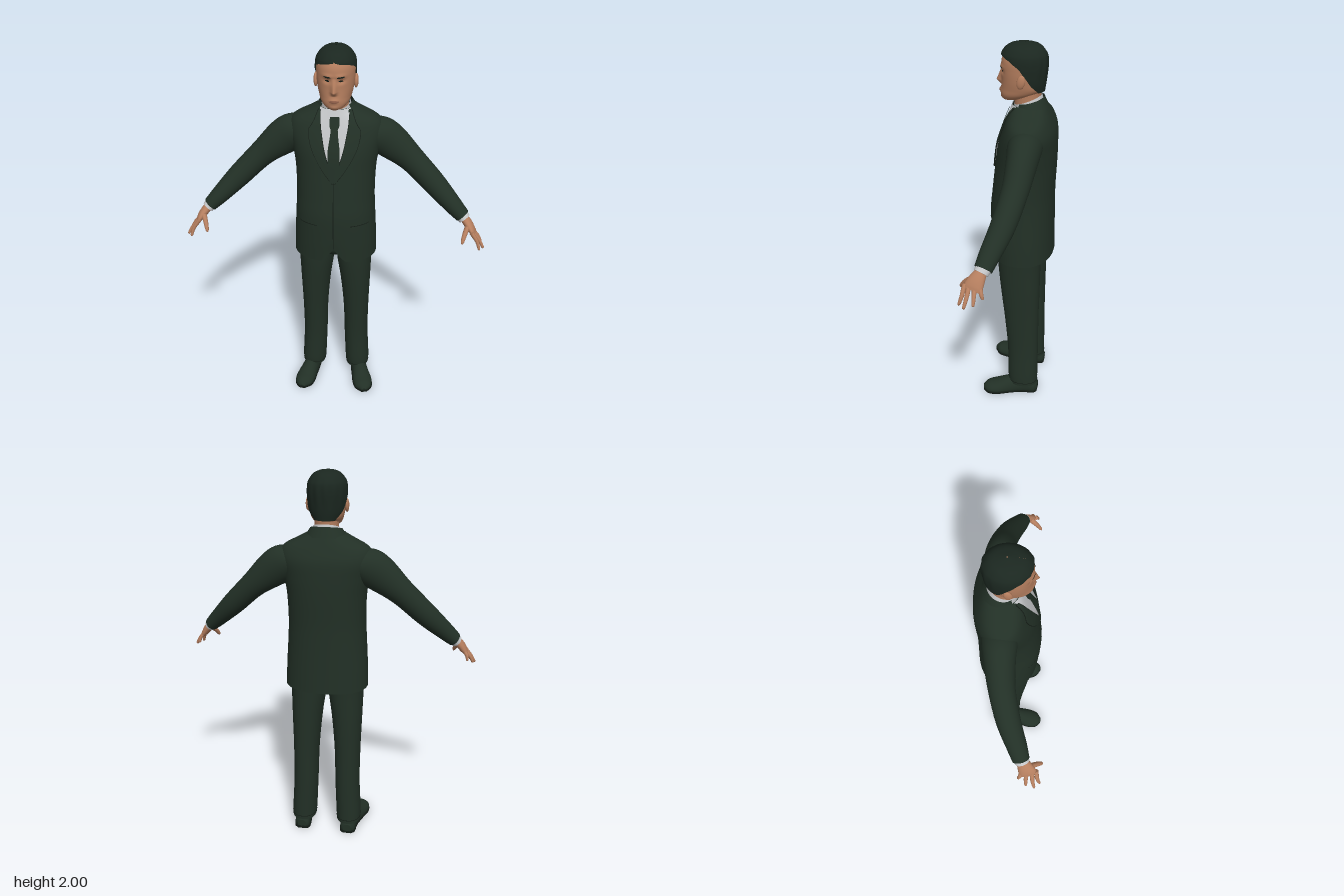
import * as THREE from 'three';

const mat = (name, color, side = THREE.DoubleSide) => {
  const m = new THREE.MeshStandardMaterial({ color, side });
  m.name = name;
  return m;
};

// Smooth interpolation of table rows keyed by their ascending first column
function sample(rows, k) {
  let i = 0;
  while (i < rows.length - 2 && k > rows[i + 1][0]) i++;
  const a = rows[i], b = rows[i + 1], p = rows[i - 1] || a, q = rows[i + 2] || b;
  const h = b[0] - a[0], t = Math.min(1, Math.max(0, (k - a[0]) / h)), t2 = t * t, t3 = t2 * t;
  return a.map((v, c) => {
    const m0 = (b[c] - p[c]) / (b[0] - p[0]) * h, m1 = (q[c] - v) / (q[0] - a[0]) * h;
    return (2 * t3 - 3 * t2 + 1) * v + (t3 - 2 * t2 + t) * m0 + (3 * t2 - 2 * t3) * b[c] + (t3 - t2) * m1;
  });
}

// Indexed surface through rows of points
function grid(rows, closed) {
  const n = rows[0].length, pos = rows.flat().flatMap(v => [v.x, v.y, v.z]), idx = [];
  for (let i = 0; i < rows.length - 1; i++)
    for (let j = 0; j < (closed ? n : n - 1); j++) {
      const k = (j + 1) % n, a = i * n + j, b = i * n + k, c = b + n, d = a + n;
      idx.push(a, b, c, a, c, d);
    }
  const g = new THREE.BufferGeometry();
  g.setAttribute('position', new THREE.Float32BufferAttribute(pos, 3));
  g.setIndex(idx);
  g.computeVertexNormals();
  return g;
}

function capEnds(rings) {
  const flat = r => {
    const c = r.reduce((s, v) => s.add(v), new THREE.Vector3()).divideScalar(r.length);
    return r.map(() => c.clone());
  };
  const a = rings[0], b = rings[rings.length - 1];
  return [flat(a), a.map(v => v.clone()), ...rings, b.map(v => v.clone()), flat(b)];
}

// Upright body: rows are [y, rx, zc, rz, cx]; opt.arc reads a half angle about the back from column 5
const spow = (v, e) => Math.sign(v) * Math.abs(v) ** e;
function loft(rows, { n = 48, m = 30, p = 2, arc = false, cap = false, rule } = {}) {
  const rings = [], y0 = rows[0][0], y1 = rows[rows.length - 1][0];
  for (let i = 0; i <= m; i++) {
    const [y, rx, zc, rz, cx = 0, half = Math.PI] = sample(rows, y0 + (y1 - y0) * i / m), ring = [];
    const h = Math.min(half, Math.PI);
    for (let j = 0; j < (arc ? n + 1 : n); j++) {
      const t = Math.PI + h * (2 * j / n - 1);
      const v = new THREE.Vector3(cx + rx * spow(Math.sin(t), 2 / p), y, zc + rz * spow(Math.cos(t), 2 / p));
      if (rule) rule(v, t, i / m);
      ring.push(v);
    }
    rings.push(ring);
  }
  return grid(cap ? capEnds(rings) : rings, !arc);
}

// Limb along a path: points are [x, y, z, ru, rv]
function limb(pts, { n = 20, m = 16, ref = new THREE.Vector3(0, 0, 1), rule } = {}) {
  const keyed = pts.map((p, i) => [i, ...p]), last = pts.length - 1, rings = [];
  const at = k => new THREE.Vector3(...sample(keyed, k).slice(1, 4));
  for (let i = 0; i <= m; i++) {
    const k = last * i / m, [, , , , ru, rv] = sample(keyed, k), c = at(k), ring = [];
    const T = at(Math.min(last, k + 0.05)).sub(at(Math.max(0, k - 0.05))).normalize();
    const U = T.clone().cross(ref).normalize(), V = U.clone().cross(T);
    for (let j = 0; j < n; j++) {
      const t = 2 * Math.PI * j / n;
      const v = c.clone().addScaledVector(U, ru * Math.sin(t)).addScaledVector(V, rv * Math.cos(t));
      if (rule) rule(v);
      ring.push(v);
    }
    rings.push(ring);
  }
  return grid(capEnds(rings), true);
}

// Thin plate laid on a front surface: rows are [y, xLeft, xRight]
function patch(surf, rows, off, nu = 10, nv = 16) {
  const y0 = rows[0][0], y1 = rows[rows.length - 1][0], out = [];
  for (let i = 0; i <= nv; i++) {
    const [y, a, b] = sample(rows, y0 + (y1 - y0) * i / nv), r = [];
    for (let j = 0; j <= nu; j++) {
      const x = a + (b - a) * j / nu;
      r.push(new THREE.Vector3(x, y, surf(x, y) + off));
    }
    out.push(r);
  }
  return grid(out, false);
}
const frontOf = (rows, p, bump = () => 0) => (x, y) => {
  const [, rx, zc, rz] = sample(rows, y);
  return zc + rz * Math.max(0, 1 - Math.abs(x / rx) ** p) ** (1 / p) + bump(x, y);
};

function mirrorX(g) {
  const c = g.clone().scale(-1, 1, 1), a = c.index.array;
  for (let i = 0; i < a.length; i += 3) [a[i], a[i + 1]] = [a[i + 1], a[i]];
  c.computeVertexNormals();
  return c;
}

const TORSO = [[0.89, 0.218, -0.02, 0.16], [1, 0.214, -0.016, 0.162], [1.15, 0.205, -0.013, 0.163], [1.25, 0.2, -0.018, 0.158],
  [1.4, 0.204, -0.03, 0.152], [1.5, 0.22, -0.038, 0.145], [1.58, 0.235, -0.048, 0.13], [1.64, 0.212, -0.048, 0.108],
  [1.67, 0.155, -0.047, 0.095], [1.705, 0.088, -0.045, 0.08]];
const HEAD = [[1.718, 0.02, 0.06, 0.02], [1.728, 0.045, 0.04, 0.05], [1.75, 0.068, 0.012, 0.084], [1.78, 0.08, -0.01, 0.104],
  [1.82, 0.088, -0.013, 0.104], [1.87, 0.092, -0.016, 0.108], [1.92, 0.09, -0.018, 0.107], [1.955, 0.074, -0.018, 0.088],
  [1.978, 0.045, -0.018, 0.055], [1.988, 0.01, -0.018, 0.012]];
const HAIR = [[1.77, 0.074, -0.025, 0.092, 0, 0.75], [1.81, 0.092, -0.015, 0.108, 0, 1.1], [1.86, 0.098, -0.015, 0.112, 0, 1.42],
  [1.9, 0.099, -0.016, 0.113, 0, 1.75], [1.93, 0.097, -0.016, 0.112, 0, 2.25], [1.95, 0.091, -0.016, 0.107, 0, 3.14],
  [1.98, 0.068, -0.018, 0.082, 0, 3.14], [1.994, 0.04, -0.02, 0.052, 0, 3.14], [2, 0.003, -0.02, 0.004, 0, 3.14]];
const LEG = [[0.06, 0.066, -0.04, 0.08, 0.128], [0.1, 0.068, -0.037, 0.083, 0.127], [0.3, 0.067, -0.035, 0.085, 0.118],
  [0.5, 0.07, -0.027, 0.093, 0.115], [0.7, 0.081, -0.018, 0.105, 0.109], [0.85, 0.093, -0.012, 0.112, 0.101], [0.97, 0.1, -0.012, 0.115, 0.1]];
const SHOE = [[0.13, 0.03, -0.122, 0.025, 0.025], [0.13, 0.03, -0.1, 0.042, 0.06], [0.135, 0.03, -0.03, 0.043, 0.07],
  [0.15, 0.025, 0.04, 0.048, 0.06], [0.168, 0.02, 0.11, 0.055, 0.042], [0.178, 0.018, 0.155, 0.045, 0.032], [0.182, 0.015, 0.184, 0.014, 0.012]];

// Nose, brow, eye sockets, lips and chin
const bell = (v, c, w) => Math.exp(-(((v - c) / w) ** 2));
const face = (x, y) => {
  const nose = y > 1.812 ? Math.max(0, (1.875 - y) / 0.063) : Math.max(0, (y - 1.792) / 0.02);
  const ax = Math.abs(x);
  return 0.027 * nose * bell(x, 0, 0.013) + 0.005 * bell(y, 1.886, 0.01) * bell(ax, 0.03, 0.025)
    - 0.008 * bell(y, 1.862, 0.012) * bell(ax, 0.033, 0.018) + 0.006 * bell(y, 1.767, 0.012) * bell(x, 0, 0.022)
    + 0.004 * bell(y, 1.735, 0.01) * bell(x, 0, 0.022);
};

export function createModel() {
  const model = new THREE.Group();
  const suit = mat('suit green', 0x223026), seam = mat('seam dark', 0x141c16), shirt = mat('shirt grey', 0xc4c6c8);
  const skin = mat('skin', 0xb67f5f), lip = mat('lip', 0x91604a), hair = mat('hair dark green', 0x1b2720);
  const add = (name, g, m) => {
    const mesh = new THREE.Mesh(g, m);
    mesh.name = name;
    model.add(mesh);
  };
  const pair = (name, g, m) => { add(name + 'Left', g, m); add(name + 'Right', mirrorX(g), m); };

  // Jacket, cut away at the front of the hem
  add('jacket', loft(TORSO, { n: 72, m: 48, p: 2.25, rule: (v, t, k) => {
    if (v.z > 0) v.y += Math.max(0, 0.06 - Math.abs(v.x)) * 1.3 * Math.max(0, 1 - k * 6);
  } }), suit);
  const chest = frontOf(TORSO, 2.25);
  add('shirtFront', patch(chest, [[1.36, -0.003, 0.003], [1.48, -0.042, 0.042], [1.6, -0.064, 0.064], [1.705, -0.074, 0.074]], 0.004), shirt);
  add('tie', patch(chest, [[1.36, -0.018, 0.018], [1.5, -0.03, 0.03], [1.615, -0.017, 0.017], [1.635, -0.024, 0.024], [1.675, -0.022, 0.022]], 0.011), suit);
  const lapel = e => [[1.355 - e, 0, 0.006 + e], [1.42, 0.019 - e, 0.055 + e], [1.52, 0.048 - e, 0.108 + e],
    [1.61, 0.065 - e, 0.125 + e], [1.64, 0.069 - e, 0.105 + e], [1.698, 0.072 - e, 0.08 + e]];
  pair('lapelEdge', patch(chest, lapel(0.003), 0.007), seam);
  pair('lapel', patch(chest, lapel(0), 0.009), suit);
  add('frontSeam', patch(chest, [[0.975, -0.0015, 0.0015], [1.355, -0.002, 0.002]], 0.003), seam);
  pair('pocketSeam', patch(chest, [[1.112, 0.085, 0.178], [1.116, 0.085, 0.178]], 0.003, 10, 1), seam);
  const tilt = s => (v, t) => { v.y -= s * Math.cos(t); };
  add('jacketCollar', loft([[1.675, 0.11, -0.047, 0.09, 0, 2.2], [1.725, 0.079, -0.045, 0.07, 0, 2.2]], { arc: true, m: 4, rule: tilt(0.018) }), suit);
  add('shirtCollar', loft([[1.685, 0.077, -0.042, 0.072], [1.727, 0.067, -0.036, 0.068]], { m: 4, rule: tilt(0.026) }), shirt);

  // Head
  add('neck', loft([[1.64, 0.066, -0.038, 0.066], [1.72, 0.06, -0.034, 0.064], [1.8, 0.062, -0.035, 0.068]], { m: 8 }), skin);
  add('head', loft(HEAD, { n: 96, m: 80, cap: true, rule: (v, t) => { if (Math.cos(t) > 0) v.z += face(v.x, v.y); } }), skin);
  add('hair', loft(HAIR, { n: 64, m: 40, arc: true, rule: (v, t) => { v.z -= 0.002 * (1 + Math.sin(t * 14)) * bell(v.y, 1.9, 0.06); } }), hair);
  const skinZ = frontOf(HEAD, 2, face);
  pair('brow', patch(skinZ, [[1.878, 0.016, 0.04], [1.882, 0.015, 0.049], [1.886, 0.022, 0.046]], 0.002, 10, 4), hair);
  pair('eye', patch(skinZ, [[1.858, 0.028, 0.036], [1.862, 0.021, 0.043], [1.866, 0.027, 0.038]], 0.002, 10, 4), seam);
  add('mouth', patch(skinZ, [[1.759, -0.01, 0.01], [1.767, -0.025, 0.025], [1.773, -0.01, 0.01]], 0.002, 12, 6), lip);
  pair('ear', new THREE.SphereGeometry(1, 16, 12).scale(0.011, 0.034, 0.02).rotateX(-0.2).translate(0.096, 1.833, -0.018), skin);

  // Sleeves, cuffs and hands
  pair('sleeve', limb([[0.15, 1.56, -0.055, 0.06, 0.085], [0.21, 1.545, -0.056, 0.092, 0.082], [0.275, 1.505, -0.055, 0.09, 0.074],
    [0.38, 1.418, -0.045, 0.067, 0.064], [0.5, 1.302, -0.014, 0.059, 0.059], [0.6, 1.205, 0.027, 0.046, 0.05], [0.652, 1.155, 0.047, 0.037, 0.043]],
    { n: 32, m: 36 }), suit);
  pair('cuff', limb([[0.645, 1.162, 0.045, 0.033, 0.038], [0.664, 1.142, 0.055, 0.031, 0.036]], { m: 2 }), shirt);
  pair('palm', limb([[0.655, 1.155, 0.05, 0.022, 0.026], [0.683, 1.122, 0.068, 0.022, 0.038], [0.702, 1.096, 0.08, 0.018, 0.044],
    [0.714, 1.08, 0.087, 0.011, 0.04]], {}), skin);
  const fingers = [[0.05, 0.729, 1.044, 0.036], [0.073, 0.757, 1.022, 0.073], [0.097, 0.766, 1.01, 0.114], [0.118, 0.745, 1.014, 0.14]];
  for (const [z, x, y, tz] of fingers)
    pair('finger', limb([[0.698, 1.1, z + 0.004, 0.011, 0.012], [(0.705 + x) / 2 + 0.004, (1.09 + y) / 2 + 0.004, (z + tz) / 2, 0.009, 0.01],
      [x - 0.003, y + 0.005, tz, 0.007, 0.007], [x, y, tz, 0.003, 0.003]], { n: 10, m: 9 }), skin);
  pair('thumb', limb([[0.682, 1.125, 0.085, 0.014, 0.018], [0.664, 1.09, 0.127, 0.012, 0.012], [0.655, 1.062, 0.149, 0.009, 0.009],
    [0.653, 1.05, 0.155, 0.003, 0.003]], { n: 10, m: 9 }), skin);

  // Trousers and shoes
  add('trouserSeat', loft([[0.885, 0.14, -0.012, 0.075], [0.92, 0.185, -0.012, 0.11], [1, 0.19, -0.012, 0.125]], { m: 8, cap: true }), suit);
  pair('trouserLeg', loft(LEG, { p: 2.2, cap: true }), suit);
  pair('trouserHem', loft([[0.078, 0.0685, -0.0385, 0.083, 0.128], [0.082, 0.0685, -0.0385, 0.083, 0.128]], { p: 2.2, m: 1 }), seam);
  const up = new THREE.Vector3(0, 1, 0);
  pair('shoe', limb(SHOE, { n: 28, m: 30, ref: up, rule: v => { v.y = Math.max(0.012, v.y); } }), suit);
  pair('sole', limb(SHOE.map(([x, y, z, w]) => [x, 0.008, z, w + 0.002, 0.03]), { n: 28, m: 30, ref: up,
    rule: v => { v.y = Math.min(0.016, Math.max(0, v.y)); } }), seam);
  return model;
}
